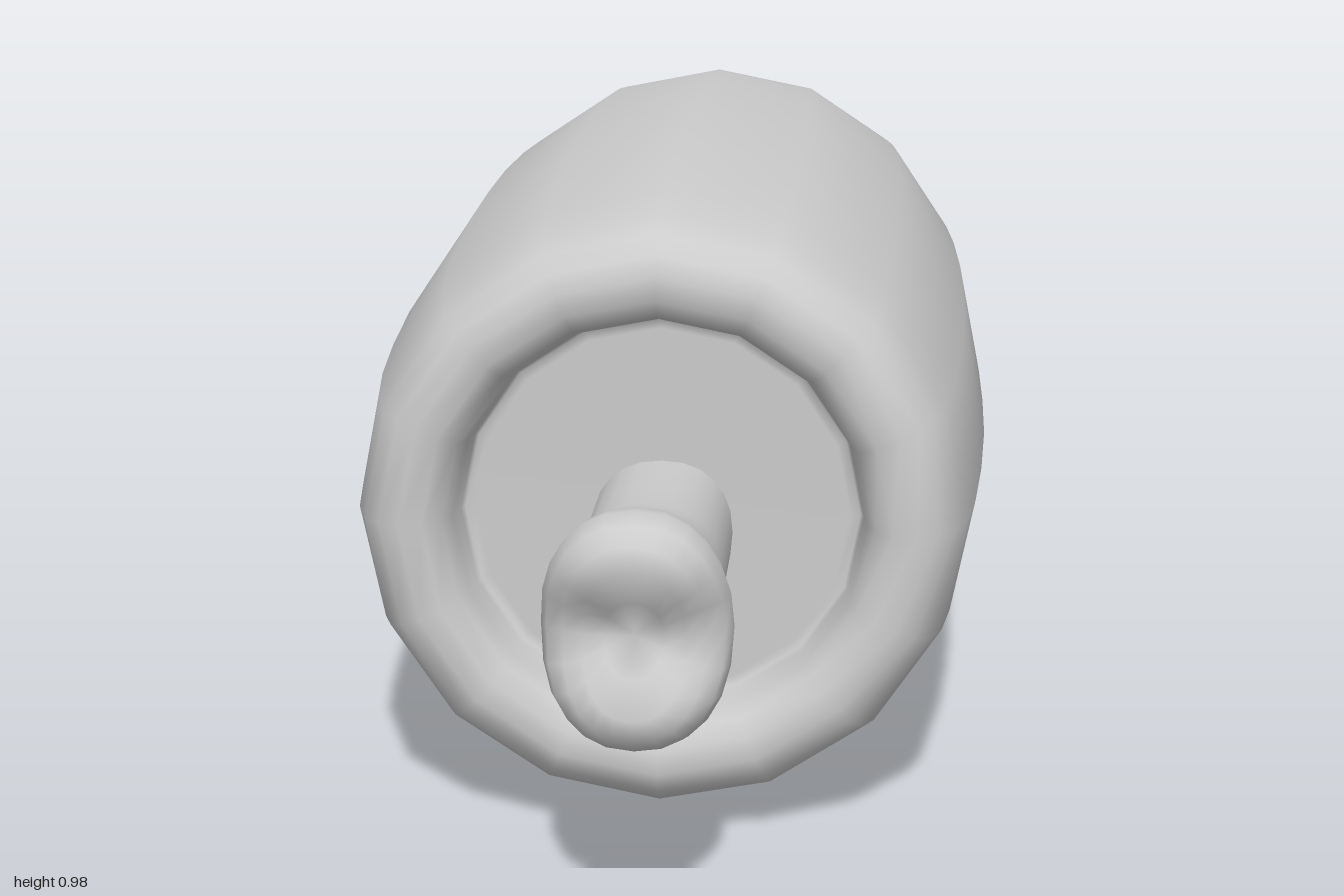
import * as THREE from 'three';
import { mergeVertices } from 'three/addons/utils/BufferGeometryUtils.js';

// Lofts mirrored stations [distance along axis, half height, half depth] around the x axis.
function loft(half, sides, power, notch) {
  const mirrored = half.filter((s) => s[0] > 0).map(([a, h, d]) => [-a, h, d]).reverse();
  const stations = [...mirrored, ...half];
  const n = stations.length;
  let geo = new THREE.LatheGeometry(stations.map(([a]) => new THREE.Vector2(1, a)), sides);
  const pos = geo.attributes.position;
  const soften = (v) => (Math.abs(v) < 1e-6 ? 0 : Math.sign(v) * Math.abs(v) ** power);
  for (let i = 0; i < pos.count; i++) {
    const [a, h, d] = stations[i % n];
    const up = soften(pos.getX(i)) * h;
    const out = soften(pos.getZ(i)) * d;
    // Hollow between the two knobs at each end
    const t = Math.max(0, (Math.abs(a) - 1) / 0.16);
    const dip = notch * t * Math.exp(-((up / 0.07) ** 2));
    pos.setXYZ(i, up, a - Math.sign(a) * dip, out);
  }
  geo.rotateZ(-Math.PI / 2);
  geo.deleteAttribute('uv');
  geo.deleteAttribute('normal');
  geo = mergeVertices(geo, 1e-5);
  geo.computeVertexNormals();
  return geo;
}

export function createModel() {
  const material = new THREE.MeshStandardMaterial({ color: 0xcccccc });
  const group = new THREE.Group();
  group.name = 'meatOnBone';
  const body = new THREE.Group();
  body.rotation.y = THREE.MathUtils.degToRad(34);
  group.add(body);

  // Barrel of meat with a rounded rim and a sunken disc at both ends
  const barrel = [
    [0, 0.49], [0.2, 0.488], [0.4, 0.479], [0.56, 0.467], [0.66, 0.453], [0.715, 0.435],
    [0.745, 0.41], [0.757, 0.38], [0.755, 0.345], [0.735, 0.318], [0.7, 0.306],
    [0.66, 0.3], [0.65, 0.295], [0.649, 0.28], [0.648, 0],
  ].map(([a, r]) => [a, r, r]);
  const meat = new THREE.Mesh(loft(barrel, 16, 1, 0), material);
  meat.name = 'meat';
  meat.position.y = 0.495;
  body.add(meat);

  // Bone running through the meat, flaring into a pair of knobs at both ends
  const shaft = [
    [0, 0.11, 0.105], [0.65, 0.11, 0.105], [0.78, 0.112, 0.105], [0.88, 0.117, 0.107],
    [0.95, 0.127, 0.111], [1.0, 0.147, 0.118], [1.04, 0.163, 0.126], [1.08, 0.17, 0.132],
    [1.115, 0.16, 0.122], [1.14, 0.138, 0.098], [1.155, 0.105, 0.07], [1.158, 0.055, 0.04],
    [1.156, 0, 0],
  ];
  const bone = new THREE.Mesh(loft(shaft, 24, 0.88, 0.06), material);
  bone.name = 'bone';
  bone.position.y = 0.462;
  body.add(bone);

  return group;
}
